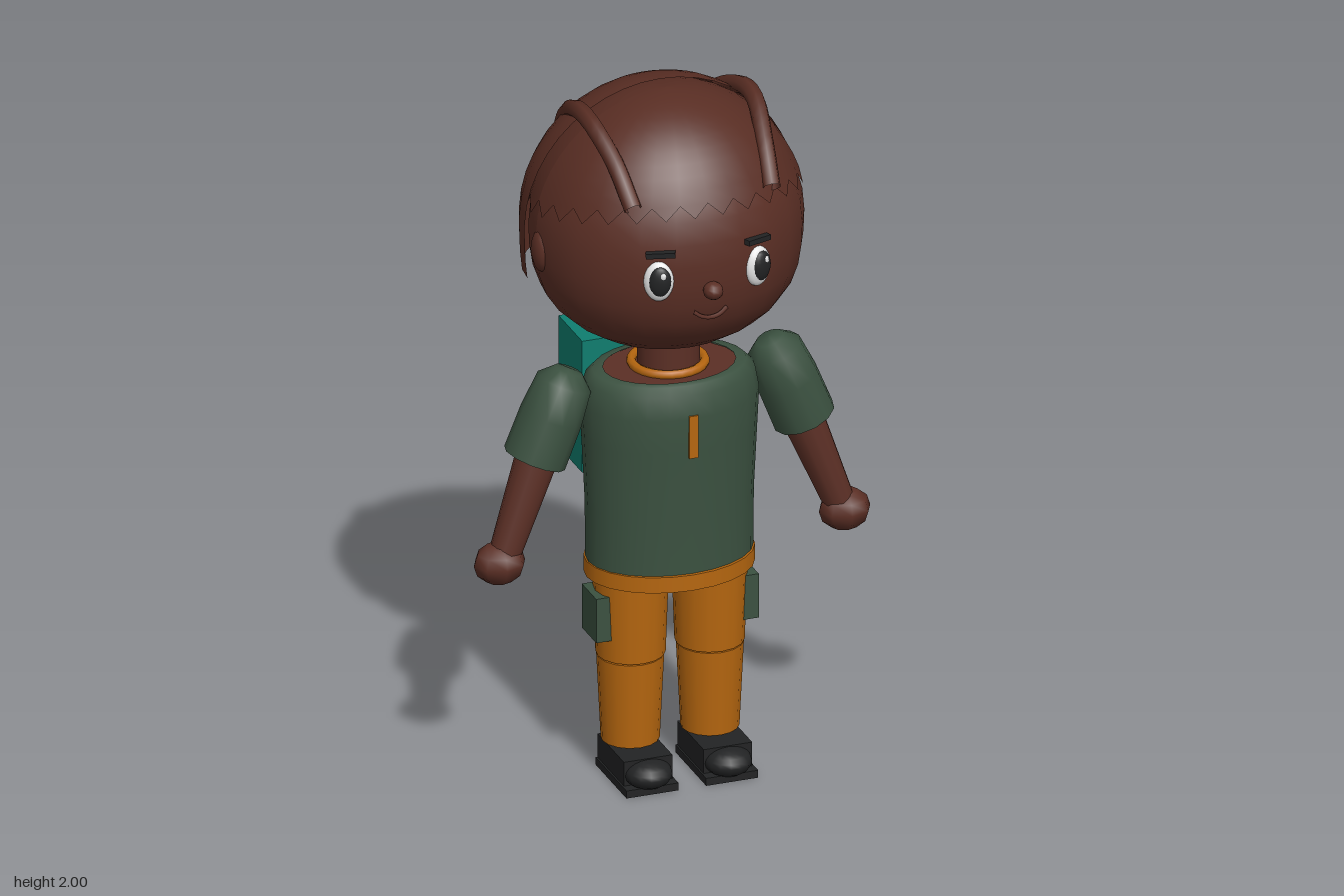
import * as THREE from 'three';

const mat = (name, color, side = THREE.FrontSide) => {
  const m = new THREE.MeshStandardMaterial({ color, side });
  m.name = name;
  return m;
};

export function createModel() {
  const root = new THREE.Group();
  root.name = 'hiker';
  const skin = mat('skin', 0x5b2f25);
  const hair = mat('hair', 0x582d23, THREE.DoubleSide);
  const shirt = mat('shirt green', 0x3b5140, THREE.DoubleSide);
  const orange = mat('trouser orange', 0xb5660f);
  const teal = mat('pack teal', 0x0f7d6f);
  const black = mat('black', 0x222324);
  const white = mat('eye white', 0xe6e6e6);
  const sole = mat('sole brown', 0x55291f);

  const add = (name, geo, material, x = 0, y = 0, z = 0) => {
    const m = new THREE.Mesh(geo, material);
    m.name = name;
    m.position.set(x, y, z);
    root.add(m);
    return m;
  };
  const box = (name, w, h, d, material, x, y, z) =>
    add(name, new THREE.BoxGeometry(w, h, d), material, x, y, z);
  const ball = (name, rx, ry, rz, material, x, y, z, w = 16, h = 12) =>
    add(name, new THREE.SphereGeometry(1, w, h).scale(rx, ry, rz), material, x, y, z);
  const lathe = (pts, n) => new THREE.LatheGeometry(pts.map(p => new THREE.Vector2(...p)), n);
  // Moves every vertex by a rule
  const warp = (geo, rule) => {
    const p = geo.attributes.position, v = new THREE.Vector3();
    for (let i = 0; i < p.count; i++) {
      rule(v.fromBufferAttribute(p, i), i);
      p.setXYZ(i, v.x, v.y, v.z);
    }
    geo.computeVertexNormals();
    return geo;
  };
  // Turns a part so its local -y points along a to b
  const aim = (mesh, a, b) => {
    mesh.quaternion.setFromUnitVectors(new THREE.Vector3(0, -1, 0), b.clone().sub(a).normalize());
    return mesh;
  };
  const V = (x, y, z) => new THREE.Vector3(x, y, z);

  // Head with a full jaw
  const HY = 1.615;
  add('head', warp(new THREE.SphereGeometry(1, 24, 18), v => {
    const f = v.y < 0 ? 1 + 0.3 * v.y * v.y * (1 - v.y * v.y) : 1;
    v.set(v.x * f * 0.377, v.y * 0.36, v.z * f * 0.348);
  }), skin, 0, HY, 0);
  ball('nose', 0.028, 0.025, 0.03, skin, 0, 1.545, 0.355, 10, 8);
  add('mouth', new THREE.TubeGeometry(new THREE.CatmullRomCurve3([
    V(-0.048, 1.48, 0.333), V(-0.025, 1.465, 0.338), V(0, 1.46, 0.339),
    V(0.025, 1.465, 0.338), V(0.048, 1.48, 0.333)]), 12, 0.006, 6), skin);

  // Hair cap ending on a sloped hairline
  const cap = new THREE.SphereGeometry(1, 28, 12);
  const uv = cap.attributes.uv;
  add('hairCap', warp(cap, (v, i) => {
    const phi = uv.getX(i) * Math.PI * 2, s = Math.sin(phi);
    const k = 0.23 * 0.352 * s;
    const end = Math.acos(0.0615 / Math.hypot(0.383, k)) - Math.atan2(k, 0.383);
    const t = (1 - uv.getY(i)) * end;
    v.set(-Math.cos(phi) * Math.sin(t) * 0.383, Math.cos(t) * 0.383, s * Math.sin(t) * 0.352);
  }), hair, 0, HY, 0);
  // Longer hair behind the ears
  add('hairBack', warp(new THREE.SphereGeometry(1, 16, 14, Math.PI, Math.PI, 0, 1.957), v => {
    const f = v.y < 0 ? 1 + 0.4 * v.y * v.y : 1;
    v.set(v.x * f * 0.39, v.y * 0.385, v.z * f * 0.315);
  }), hair, 0, HY, -0.05);

  for (const s of [-1, 1]) {
    const side = s > 0 ? 'left' : 'right';
    // Raised hair ridge
    add(side + 'HairRidge', new THREE.TubeGeometry(new THREE.CatmullRomCurve3([
      V(s * 0.2, 1.785, 0.275), V(s * 0.215, 1.88, 0.18), V(s * 0.235, 1.948, 0.06),
      V(s * 0.235, 1.948, -0.04), V(s * 0.215, 1.885, -0.18), V(s * 0.19, 1.775, -0.295)]),
    20, 0.025, 7), hair);
    ball(side + 'Ear', 0.025, 0.06, 0.043, skin, s * 0.365, 1.575, 0.008, 12, 8);

    // Eye, pupil, glint and brow
    const eye = new THREE.Group();
    eye.name = side + 'Eye';
    eye.position.set(s * 0.143, 1.58, 0.318);
    eye.rotation.y = s * 0.35;
    root.add(eye);
    eye.add(
      ball(side + 'EyeWhite', 0.041, 0.058, 0.022, white, 0, 0, 0),
      ball(side + 'Pupil', 0.031, 0.044, 0.016, black, 0.003, 0.003, 0.011),
      ball(side + 'Glint', 0.009, 0.011, 0.005, white, 0.012, 0.022, 0.022, 8, 6));
    const brow = box(side + 'Brow', 0.08, 0.015, 0.02, black, s * 0.14, 1.661, 0.325);
    brow.rotation.set(0, s * 0.4, -s * 0.06);

    // Sleeve, arm and hand
    const a = V(s * 0.295, 1.2, 0.022), b = V(s * 0.39, 0.965, 0.022);
    const sleeve = lathe([[0, -0.25], [0.088, -0.25], [0.088, -0.25], [0.087, -0.12],
      [0.077, -0.02], [0.04, 0.015], [0, 0.02]], 12);
    aim(add(side + 'Sleeve', sleeve, shirt, a.x, a.y, a.z), a, b);
    const c = V(s * 0.375, 0.99, 0.02), d = V(s * 0.482, 0.71, 0.042);
    const mid = c.clone().add(d).multiplyScalar(0.5);
    aim(add(side + 'Arm', new THREE.CylinderGeometry(0.06, 0.044, c.distanceTo(d), 12),
      skin, mid.x, mid.y, mid.z), c, d);
    ball(side + 'Hand', 0.074, 0.06, 0.062, skin, s * 0.498, 0.684, 0.043, 8, 6);

    // Trouser leg in two lengths, with cargo pocket
    add(side + 'Thigh', new THREE.CylinderGeometry(0.104, 0.095, 0.25, 16),
      orange, s * 0.114, 0.48, 0.028);
    add(side + 'Shin', new THREE.CylinderGeometry(0.092, 0.08, 0.25, 16),
      orange, s * 0.115, 0.225, 0.028);
    box(side + 'CargoPocket', 0.045, 0.13, 0.11, shirt, s * 0.212, 0.485, 0.03);

    // Shoe: ankle, upper, rounded toe, sole
    add(side + 'Ankle', new THREE.CylinderGeometry(0.06, 0.06, 0.06, 12), skin, s * 0.115, 0.09, 0.025);
    box(side + 'Shoe', 0.14, 0.075, 0.2, [black, black, black, black, black, sole],
      s * 0.115, 0.055, 0.065);
    ball(side + 'Toe', 0.066, 0.04, 0.065, black, s * 0.115, 0.05, 0.165, 14, 10);
    box(side + 'Sole', 0.15, 0.022, 0.235, [black, black, black, sole, black, black],
      s * 0.115, 0.011, 0.08);
  }

  // Neck, shoulders and collar
  add('neck', new THREE.CylinderGeometry(0.085, 0.085, 0.14, 16), skin, 0, 1.23, 0.015);
  add('shoulders', new THREE.CylinderGeometry(0.19, 0.21, 0.03, 20).scale(1, 1, 0.75),
    skin, 0, 1.17, 0.02);
  add('collar', new THREE.TorusGeometry(0.1, 0.013, 8, 24).rotateX(Math.PI / 2).scale(1, 1, 1),
    orange, 0, 1.193, 0.012);

  // Shirt, zip and waistband
  add('shirt', lathe([[0.234, 0.625], [0.235, 0.8], [0.245, 1.0], [0.25, 1.1],
    [0.238, 1.165], [0.215, 1.188], [0.185, 1.19]], 24).scale(1, 1, 0.74), shirt, 0, 0, 0.022);
  box('zip', 0.026, 0.125, 0.012, orange, 0, 1.047, 0.204);
  add('waistband', new THREE.CylinderGeometry(0.238, 0.238, 0.046, 24).scale(1, 1, 0.77),
    [orange, orange, sole], 0, 0.613, 0.022);

  // Backpack with outer pocket
  box('backpack', 0.36, 0.39, 0.18, teal, 0, 1.005, -0.255);
  box('backpackPocket', 0.275, 0.185, 0.06, teal, 0, 0.858, -0.355);

  return root;
}
